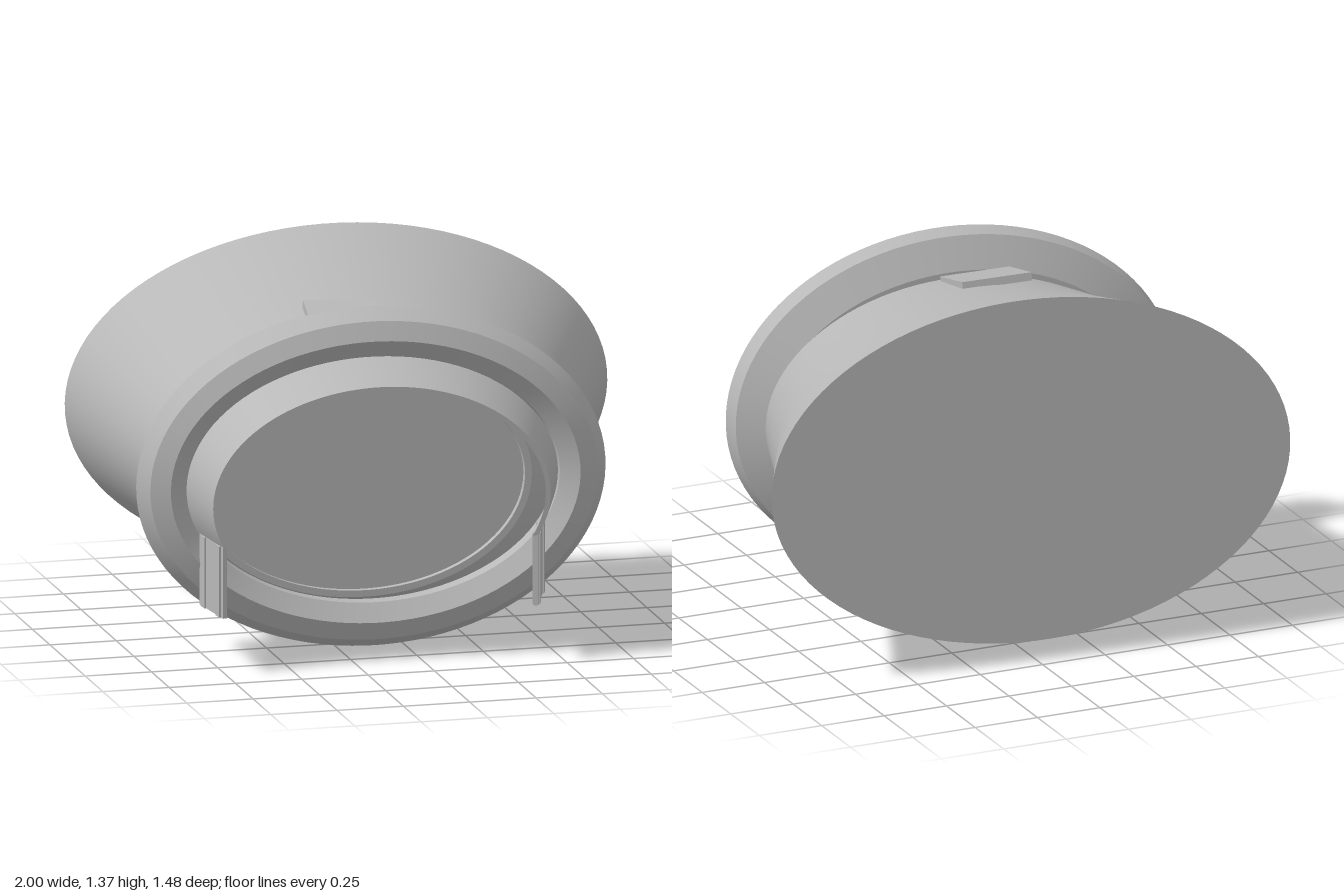
import * as THREE from 'three';
import { mergeGeometries } from 'three/addons/utils/BufferGeometryUtils.js';

const SEG = 96;
// Every cross-section lies in the same slightly tilted plane
const SLOPE_X = 0.085, SLOPE_Y = 0.075;
const section = (cx, cy, rx, ry, z) => ({ cx, cy, rx, ry, z });
const shrink = (s, d) => ({ ...s, rx: s.rx - d, ry: s.ry - d });
const centre = (s) => ({ ...s, rx: 0, ry: 0 });

function pointOn(s, a) {
  const dx = s.rx * Math.cos(a), dy = s.ry * Math.sin(a);
  return [s.cx + dx, s.cy + dy, s.z + SLOPE_X * dx + SLOPE_Y * dy];
}

// Smooth skin through elliptical sections; cutY keeps only the arc above that height
function skin(sections, cutY = null) {
  const pos = [], idx = [], row = cutY === null ? SEG : SEG + 1;
  for (const s of sections) {
    const a0 = cutY === null ? 0 : Math.asin((cutY - s.cy) / s.ry);
    const span = cutY === null ? Math.PI * 2 : Math.PI - 2 * a0;
    for (let i = 0; i < row; i++) pos.push(...pointOn(s, a0 + span * i / SEG));
  }
  for (let j = 0; j < sections.length - 1; j++) {
    for (let i = 0; i < SEG; i++) {
      const k = (i + 1) % row;
      const a = j * row + i, b = j * row + k, c = a + row, d = b + row;
      idx.push(a, b, d, a, d, c);
    }
  }
  const g = new THREE.BufferGeometry();
  g.setAttribute('position', new THREE.Float32BufferAttribute(pos, 3));
  g.setIndex(idx);
  g.computeVertexNormals();
  return g;
}

// Bands with a sharp edge at every section
function bands(sections, cutY = null) {
  const parts = [];
  for (let j = 0; j < sections.length - 1; j++) parts.push(skin([sections[j], sections[j + 1]], cutY));
  return mergeGeometries(parts);
}

export function createModel() {
  const model = new THREE.Group();
  const grey = new THREE.MeshStandardMaterial({ color: 0xb8b8b8 });
  grey.name = 'light grey';
  const add = (name, geometry, parent = model) => {
    const m = new THREE.Mesh(geometry, grey);
    m.name = name;
    parent.add(m);
    return m;
  };

  // Flared body, slightly concave, with a flat back
  const back = section(0, 0.725, 1, 0.645, -0.647);
  const mid = section(-0.068, 0.683, 0.852, 0.56, -0.2);
  const neck = section(-0.12, 0.652, 0.74, 0.49, 0.26);
  const lip = section(-0.14, 0.647, 0.695, 0.475, 0.36);
  add('body', skin([back, mid, neck, lip]));
  add('backCap', skin([centre(back), back]));

  // Recessed front disc with a stepped border
  const rimOuter = section(-0.175, 0.64, 0.625, 0.44, 0.385);
  const rimInner = shrink(rimOuter, 0.025);
  const disc = { ...rimInner, z: 0.36 };
  add('discBorder', bands([lip, rimOuter, rimInner, disc]));
  add('frontDisc', skin([disc, centre(disc)]));

  // Chamfered bezel ring: [inset from the widest ellipse, forward offset]
  const profile = [
    [0.18, -0.12], [0.13, -0.12], [0.015, -0.065], [0, 0],
    [0.04, 0.07], [0.11, 0.1], [0.178, 0.055], [0.19, 0],
  ];
  add('bezelRing', bands(profile.map(([inset, dz]) =>
    section(-0.135 - dz * 0.08, 0.652, 0.865 - inset, 0.647 - inset, 0.355 + dz))));

  // Open-bottomed hood in front of the ring
  const CUT = 0.48, WALL = 0.018;
  const hoodBack = section(-0.143, 0.645, 0.688, 0.476, 0.39);
  const hoodFront = section(-0.178, 0.637, 0.622, 0.433, 0.675);
  add('hood', bands([
    hoodBack, hoodFront, shrink(hoodFront, WALL), shrink(hoodBack, WALL), hoodBack,
  ], CUT));

  // Upright tabs hanging from both ends of the hood
  function tab(name, x0, z0, x1, z1) {
    const g = new THREE.Group();
    g.name = name;
    const length = Math.hypot(x1 - x0, z1 - z0), height = 0.265;
    g.position.set((x0 + x1) / 2, CUT - height / 2, (z0 + z1) / 2);
    g.rotation.y = Math.atan2(x0 - x1, z0 - z1);
    add('tabPanel', new THREE.BoxGeometry(0.016, height, length), g);
    for (const t of [0.32, -0.3]) {
      add('tabRib', new THREE.BoxGeometry(0.028, height, 0.04), g).position.z = t * length;
    }
    model.add(g);
  }
  tab('leftTab', 0.394, 0.705, 0.482, 0.46);
  tab('rightTab', -0.752, 0.61, -0.777, 0.37);

  // Small plate on top of the body
  const plate = add('topPlate', new THREE.BoxGeometry(0.268, 0.03, 0.25));
  plate.position.set(-0.172, 1.187, 0.12);
  plate.rotation.set(0.25, -0.09, 0);

  return model;
}
